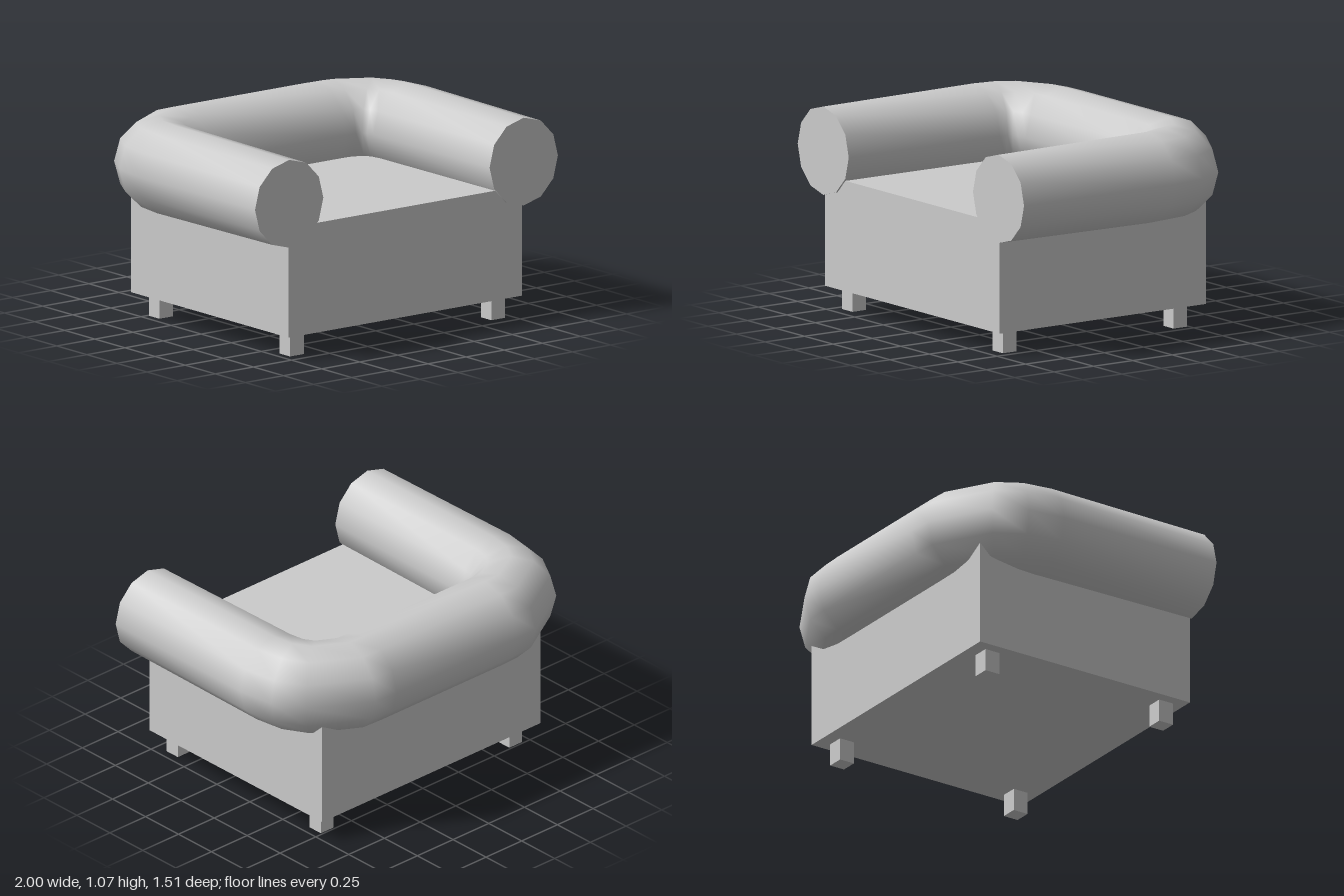
import * as THREE from 'three';

const material = new THREE.MeshStandardMaterial({ color: 0xcccccc });
const SIDES = 12, ROLL_Y = 0.83;

function addBox(group, name, size, position) {
  const mesh = new THREE.Mesh(new THREE.BoxGeometry(...size), material);
  mesh.name = name;
  mesh.position.set(...position);
  group.add(mesh);
}

// Skin of 12-sided rings; each ring spans an outer and an inner point in plan
function rollGeometry(rings) {
  const points = [], index = [];
  rings.forEach(([ox, oz, ix, iz, h], i) => {
    for (let j = 0; j < SIDES; j++) {
      const a = (j / SIDES) * Math.PI * 2, t = (1 + Math.cos(a)) / 2;
      points.push(ix + (ox - ix) * t, ROLL_Y + Math.sin(a) * h, iz + (oz - iz) * t);
      if (i === rings.length - 1) continue;
      const p = i * SIDES + j, q = i * SIDES + ((j + 1) % SIDES);
      index.push(p, p + SIDES, q, q, p + SIDES, q + SIDES);
    }
  });
  const geometry = new THREE.BufferGeometry();
  geometry.setAttribute('position', new THREE.Float32BufferAttribute(points, 3));
  geometry.setIndex(index);
  geometry.computeVertexNormals();
  return geometry;
}

export function createModel() {
  const chair = new THREE.Group();
  chair.name = 'armchair';

  // Solid base whose top is the seat
  addBox(chair, 'seatBase', [1.53, 0.58, 1.31], [0, 0.41, -0.09 + 0.18]);

  // Square feet
  for (const x of [-0.66, 0.66])
    for (const z of [-0.447, 0.638])
      addBox(chair, 'foot', [0.09, 0.13, 0.086], [x, 0.065, z]);

  // Padded roll running along one arm, round the back and along the other:
  // outer x, outer z, inner x, inner z, half height
  const half = [
    [0.993, 0.755, 0.545, 0.755, 0.232],
    [1.0, -0.2, 0.538, -0.2, 0.24],
    [0.97, -0.4, 0.53, -0.245, 0.24],
    [0.875, -0.565, 0.515, -0.265, 0.24],
    [0.56, -0.75, 0.485, -0.277, 0.24],
    [0.42, -0.757, 0.42, -0.28, 0.24],
  ];
  const mirrored = half.map(([ox, oz, ix, iz, h]) => [-ox, oz, -ix, iz, h]).reverse();
  const roll = new THREE.Mesh(rollGeometry([...half, ...mirrored]), material);
  roll.name = 'armAndBackRoll';
  chair.add(roll);

  // Flat front ends of the arms
  for (const side of [-1, 1]) {
    const cap = new THREE.Mesh(new THREE.CircleGeometry(1, SIDES), material);
    cap.name = 'armFront';
    cap.scale.set(0.224, 0.232, 1);
    cap.position.set(side * 0.769, ROLL_Y, 0.755);
    chair.add(cap);
  }
  return chair;
}
